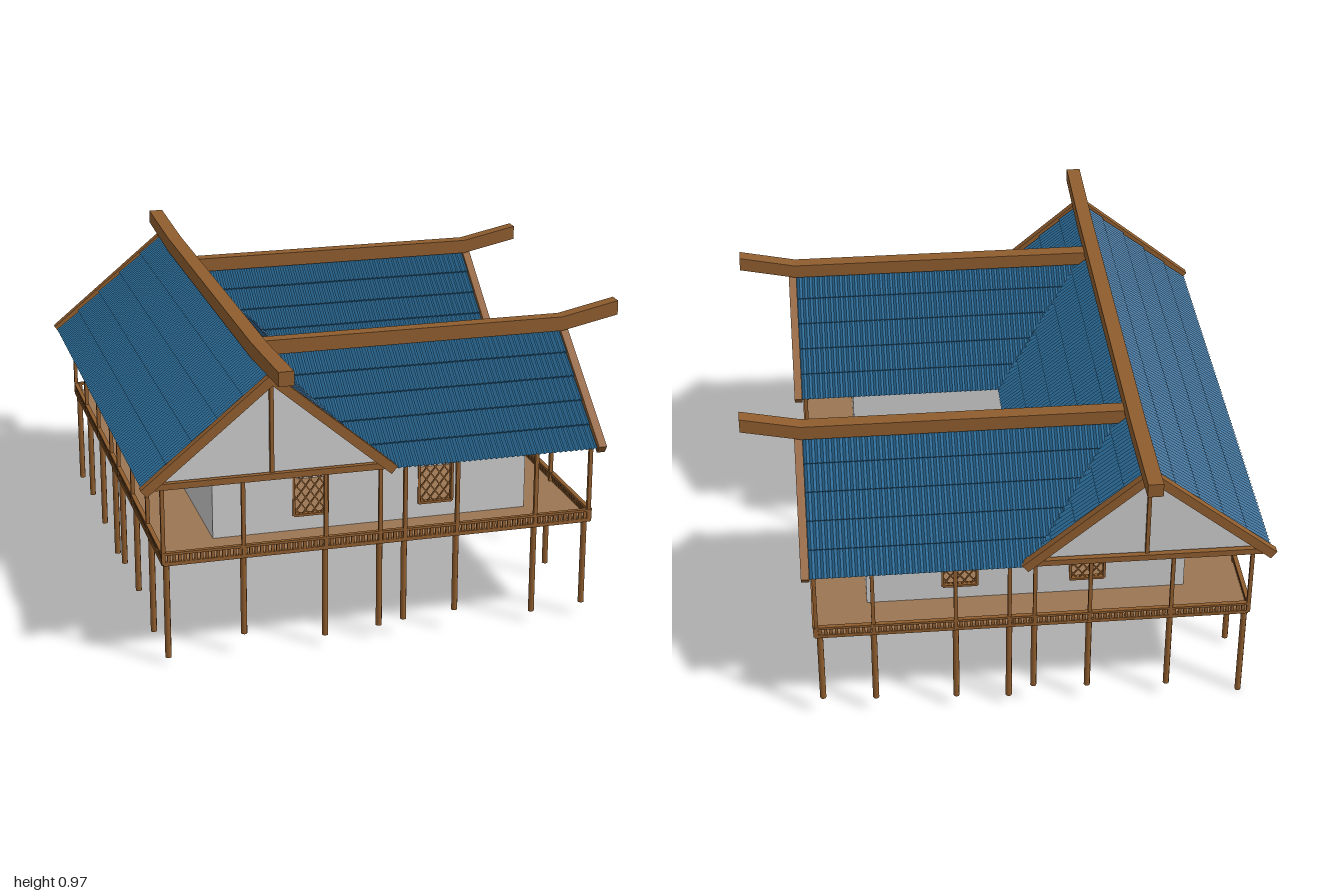
import * as THREE from 'three';
import { mergeGeometries } from 'three/addons/utils/BufferGeometryUtils.js';

const mat = (color, extra = {}) => new THREE.MeshStandardMaterial({ color, ...extra });
const WOOD = mat(0x8f5d2e);
const FLOOR = mat(0x9b7653);
const STONE = mat(0x4c4c4c);
const GREY = mat(0xcccccc);
const TILE = mat(0x2a6a96, { flatShading: true, side: THREE.DoubleSide });

const RIDGE_X = -0.42;   // main ridge line
const WING_Z = 0.5;      // wing ridge lines at +/- this
const FLOOR_Y = 0.34, EAVE_Y = 0.6;

const box = (x0, x1, y0, y1, z0, z1) =>
  new THREE.BoxGeometry(x1 - x0, y1 - y0, z1 - z0).translate((x0 + x1) / 2, (y0 + y1) / 2, (z0 + z1) / 2);

// Square beam between two points
function beam(a, b, w, h = w) {
  const p = new THREE.Vector3(...a), q = new THREE.Vector3(...b);
  const o = new THREE.Object3D();
  o.position.copy(p).add(q).multiplyScalar(0.5);
  o.lookAt(q);
  o.updateMatrix();
  return new THREE.BoxGeometry(w, h, p.distanceTo(q)).applyMatrix4(o.matrix);
}

// Upright plate in the (s, y) plane; s runs along x or z, "at" is the other coordinate
function plate(points, axis, at, depth, holes = []) {
  const toPts = list => list.map(p => new THREE.Vector2(...p));
  const shape = new THREE.Shape(toPts(points));
  holes.forEach(h => shape.holes.push(new THREE.Path(toPts(h))));
  const g = new THREE.ExtrudeGeometry(shape, { depth, bevelEnabled: false }).translate(0, 0, -depth / 2);
  if (axis === 'z') g.rotateY(-Math.PI / 2);
  return axis === 'z' ? g.translate(at, 0, 0) : g.translate(0, 0, at);
}
const rect = (a, b, y0, y1) => [[a, y0], [b, y0], [b, y1], [a, y1]];

// Corrugated tile slope in stepped rows, cut at the valleys by limit(u)
function tileSlope(axis, u0, u1, ridge, eave, limit = () => 1) {
  const wave = 0.0175, rows = 5, n = Math.round((u1 - u0) / wave) * 4;
  const dx = eave[0] - ridge[0], dy = eave[1] - ridge[1], len = Math.hypot(dx, dy);
  const nx = -dy * Math.sign(dx) / len * Math.sign(1), ny = Math.abs(dx) / len;
  const pos = [], idx = [], per = rows * 2;
  for (let i = 0; i <= n; i++) {
    const u = u0 + (u1 - u0) * i / n;
    const max = Math.min(1, Math.max(0, limit(u)));
    for (let r = 0; r < rows; r++) for (let k = 0; k < 2; k++) {
      const t = Math.min((r + k) / rows, max);
      const off = 0.004 * Math.sin(i * Math.PI / 2) + k * 0.006;
      const a = ridge[0] + dx * t + nx * off, y = ridge[1] + dy * t + ny * off;
      pos.push(...(axis === 'x' ? [u, y, a] : [a, y, u]));
      if (i < n && r * 2 + k < per - 1 && t < max) {
        const p = i * per + r * 2 + k;
        idx.push(p, p + 1, p + per, p + 1, p + per + 1, p + per);
      }
    }
  }
  const g = new THREE.BufferGeometry();
  g.setAttribute('position', new THREE.Float32BufferAttribute(pos, 3));
  g.setIndex(idx);
  g.computeVertexNormals();
  return g;
}

// Framed diamond lattice filling a wall opening
function latticeWindow(axis, s, at) {
  const w = 0.055, y0 = 0.395, y1 = 0.565, parts = [];
  const P = (a, y) => axis === 'x' ? [a, y, at] : [at, y, a];
  for (const k of [-1, 1]) parts.push(plate(rect(s + k * w - 0.004, s + k * w + 0.004, y0, y1), axis, at, 0.018));
  for (const y of [y0, y1]) parts.push(plate(rect(s - w, s + w, y - 0.004, y + 0.004), axis, at, 0.018));
  const slope = 1.35, rise = slope * 2 * w;
  for (const dir of [-1, 1]) for (let c = y0 - rise + 0.03; c < y1; c += 0.04) {
    // line y = c + slope * q, clipped to the opening
    const q0 = Math.max(0, (y0 - c) / slope), q1 = Math.min(2 * w, (y1 - c) / slope);
    if (q1 - q0 < 0.004) continue;
    parts.push(beam(P(s + dir * (q0 - w), c + slope * q0), P(s + dir * (q1 - w), c + slope * q1), 0.004));
  }
  return parts;
}

// Gable: panel, rafters, tie beam and king post
function gable(axis, at, sign, s0, sm, s1, top) {
  const P = (s, y, off = 0) => axis === 'x' ? [s, y, at + off * sign] : [at + off * sign, y, s];
  const y = 0.585;
  const panel = plate([[s0 + 0.03, EAVE_Y], [s1 - 0.03, EAVE_Y], [sm, top - 0.015]], axis, at - sign * 0.02, 0.008);
  const frame = [
    beam(P(s0, y), P(sm, top), 0.026, 0.03), beam(P(s1, y), P(sm, top), 0.026, 0.03),
    beam(P(s0 + 0.02, EAVE_Y), P(s1 - 0.02, EAVE_Y), 0.018, 0.02),
    plate(rect(sm - 0.006, sm + 0.006, EAVE_Y, top), axis, at - sign * 0.008, 0.014),
  ];
  return { panel, frame };
}

export function createModel() {
  const house = new THREE.Group();
  house.name = 'stiltHouse';
  const add = (name, parts, material) => {
    const list = parts.map(g => g.index ? g.toNonIndexed() : g);
    const mesh = new THREE.Mesh(mergeGeometries(list), material);
    mesh.name = name;
    house.add(mesh);
  };
  const sides = [-1, 1];

  // U-shaped deck floor and ceiling
  const uPlan = (x0, x1, notch, zo, zi, y0, y1) => [
    box(x0, notch, y0, y1, -zo, zo),
    ...sides.map(k => box(notch, x1, y0, y1, Math.min(k * zi, k * zo), Math.max(k * zi, k * zo)))];
  add('deckFloor', uPlan(-0.76, 0.62, 0.13, 0.84, 0.15, 0.335, 0.346), FLOOR);
  add('ceiling', uPlan(-0.75, 0.61, -0.08, 0.83, 0.16, 0.597, 0.603), GREY);

  // Low slatted railing around the deck
  const rails = [];
  function railing(x0, z0, x1, z1) {
    const len = Math.hypot(x1 - x0, z1 - z0), n = Math.round(len / 0.017), alongX = z0 === z1;
    for (let i = 0; i <= n; i++) {
      const x = x0 + (x1 - x0) * i / n, z = z0 + (z1 - z0) * i / n;
      const hx = alongX ? 0.005 : 0.003, hz = alongX ? 0.003 : 0.005;
      rails.push(box(x - hx, x + hx, FLOOR_Y - 0.002, 0.37, z - hz, z + hz));
    }
    rails.push(beam([x0, 0.373, z0], [x1, 0.373, z1], 0.014, 0.008), beam([x0, 0.34, z0], [x1, 0.34, z1], 0.01, 0.012));
  }
  railing(-0.76, -0.84, -0.76, 0.84);
  for (const k of sides) {
    railing(-0.76, k * 0.84, 0.62, k * 0.84);
    railing(0.62, k * 0.15, 0.62, k * 0.84);
    railing(0.13, k * 0.15, 0.62, k * 0.15);
  }
  add('railing', rails, WOOD);

  // Stilts below the deck, thin columns above it
  const spots = [];
  for (const k of sides) {
    for (const x of [-0.75, -0.51, -0.25, -0.075, 0.005, 0.175, 0.435, 0.605]) spots.push([x, k * 0.83]);
    for (const z of [0.07, 0.33, 0.59]) spots.push([-0.75, k * z]);
    spots.push([0.605, k * 0.5], [0.605, k * 0.165], [0.13, k * 0.155]);
  }
  const stilts = [], columns = [];
  spots.forEach(([x, z], i) => {
    const foot = x < -0.7 ? 0.005 + 0.01 * (i % 4) : 0.04 + 0.012 * (i % 4);
    stilts.push(new THREE.CylinderGeometry(0.01, 0.01, 0.338 - foot, 8).translate(x, (0.338 + foot) / 2, z));
    if (x === 0.13) return;
    const cx = Math.abs(x) > 0.6 ? x + Math.sign(x) * 0.01 : x;
    const cz = Math.abs(z) > 0.8 ? z + Math.sign(z) * 0.01 : z;
    columns.push(box(cx - 0.006, cx + 0.006, FLOOR_Y, EAVE_Y, cz - 0.006, cz + 0.006));
  });
  add('stilts', stilts, WOOD);
  add('columns', columns, WOOD);

  // Walls with open lattice windows
  const walls = [], windows = [];
  function wall(axis, at, from, to, openings = []) {
    walls.push(plate(rect(from, to, FLOOR_Y, EAVE_Y), axis, at, 0.01,
      openings.map(s => rect(s - 0.055, s + 0.055, 0.395, 0.565))));
    openings.forEach(s => windows.push(...latticeWindow(axis, s, at)));
  }
  wall('z', -0.57, -0.69, 0.69);
  wall('z', -0.19, -0.26, 0.26);
  for (const k of sides) {
    wall('x', k * 0.69, -0.575, 0.45, [-0.26, 0.15]);
    wall('x', k * 0.26, -0.19, 0.45);
    const [a, b] = k > 0 ? [0.26, 0.69] : [-0.69, -0.26];
    wall('z', 0.445, a, b, [k * 0.475]);
  }
  add('walls', walls, GREY);
  add('windows', windows, WOOD);

  // Door frame
  add('doorFrame', [box(-0.19, -0.175, FLOOR_Y, 0.5, -0.055, -0.047), box(-0.19, -0.175, FLOOR_Y, 0.5, 0.032, 0.04),
    box(-0.19, -0.175, 0.492, 0.5, -0.055, 0.04)], WOOD);

  // Entrance steps and side boards
  const steps = 8, run = 0.27 / steps, drop = 0.085 / steps;
  add('steps', Array.from({ length: steps }, (_, i) => box(0.13 + i * run, 0.132 + (i + 1) * run,
    0.322 - i * drop, 0.338 - i * drop, -0.145, 0.145)), STONE);
  add('stepSides', sides.map(k => box(0.14, 0.4, 0.25, 0.335, k * 0.15 - 0.005, k * 0.15 + 0.005)), WOOD);

  // Main roof; its courtyard slope is cut where the wings join
  const mainRidge = [RIDGE_X, 0.915];
  add('mainRoof', [
    tileSlope('z', -0.85, 0.85, mainRidge, [-0.815, 0.58]),
    tileSlope('z', -0.85, 0.85, mainRidge, [-0.055, 0.585], z => 0.13 + 0.87 * Math.abs(Math.abs(z) - WING_Z) / 0.365),
  ], TILE);

  // Wing roofs, cut along the same valleys
  const wingRoofs = [];
  for (const k of sides) for (const d of sides) {
    wingRoofs.push(tileSlope('x', -0.372, 0.63, [k * WING_Z, 0.872], [k * WING_Z + d * 0.365, 0.585],
      x => (x + 0.372) / 0.317));
  }
  add('wingRoofs', wingRoofs, TILE);

  // Gables
  const gables = [];
  for (const k of sides) {
    gables.push(gable('x', k * 0.86, k, -0.82, RIDGE_X - 0.002, -0.04, 0.91));
    gables.push(gable('z', 0.64, 1, k * WING_Z - 0.37, k * WING_Z, k * WING_Z + 0.37, 0.865));
  }
  add('gablePanels', gables.map(g => g.panel), GREY);
  add('gableFrames', gables.flatMap(g => g.frame), WOOD);

  // Ridge beams with upswept ends
  add('mainRidgeBeam', [plate([[-1, 0.93], [-0.65, 0.91], [0.65, 0.91], [1, 0.93], [1, 0.975], [0.65, 0.96],
    [-0.65, 0.96], [-1, 0.975]], 'z', -0.412, 0.048)], WOOD);
  add('wingRidgeBeams', sides.map(k => plate([[-0.41, 0.873], [0.63, 0.873], [0.82, 0.913], [0.82, 0.96],
    [0.63, 0.92], [-0.41, 0.92]], 'x', k * WING_Z, 0.046)), WOOD);

  return house;
}
